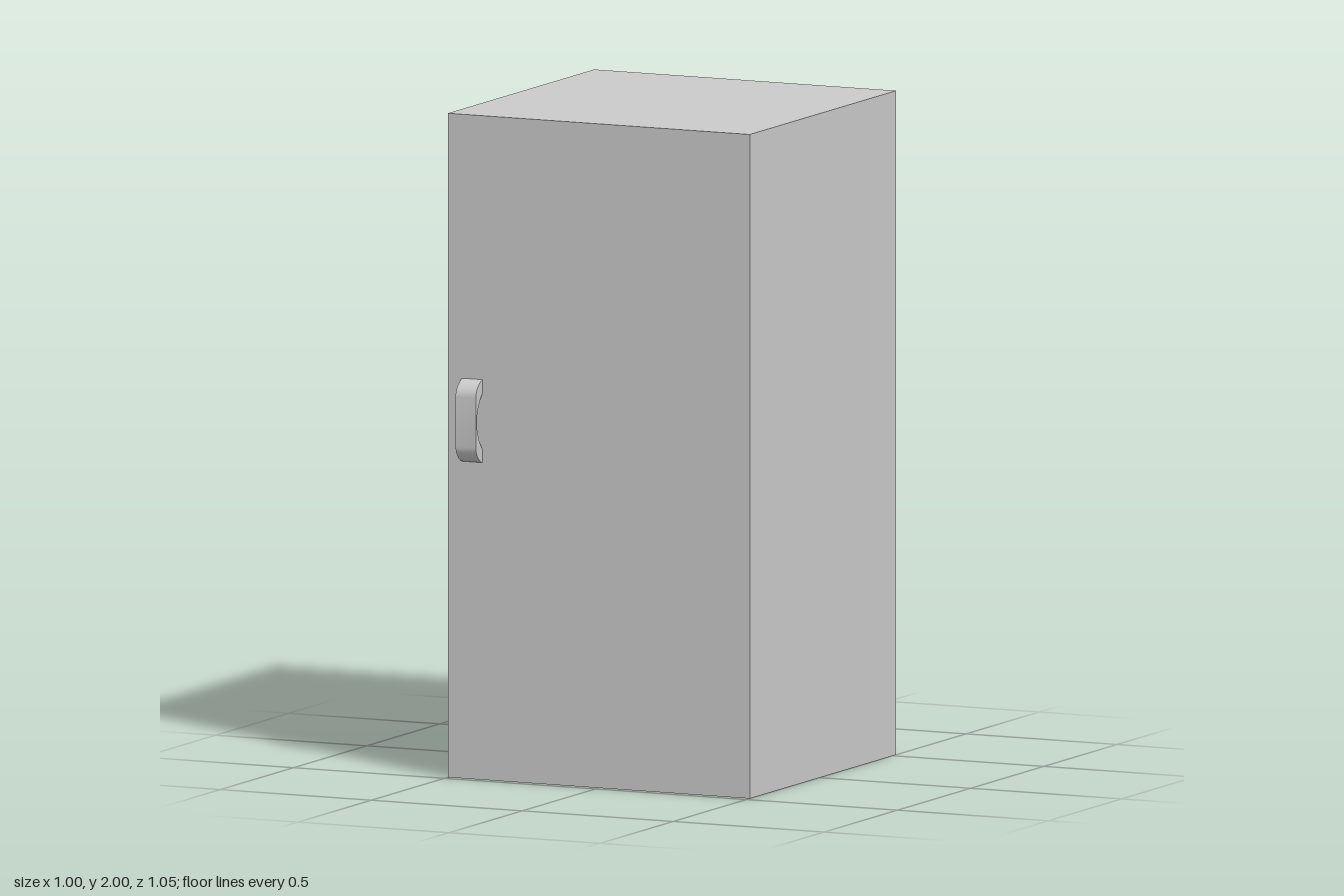
import * as THREE from 'three';
import { toCreasedNormals } from 'three/addons/utils/BufferGeometryUtils.js';

export function createModel() {
  const model = new THREE.Group();
  model.name = 'cabinet';
  const material = new THREE.MeshStandardMaterial({ color: 0xcccccc });
  const frontZ = 0.477;

  // Plain upright body, set back to leave room for the handle
  const body = new THREE.Mesh(new THREE.BoxGeometry(1, 2, 1), material);
  body.name = 'body';
  body.position.set(0, 1, frontZ - 0.5);
  model.add(body);

  // Handle side profile: x is the distance out from the door, y is height about the middle
  const profile = new THREE.Shape();
  profile.moveTo(0, -0.125);
  profile.bezierCurveTo(0.018, -0.122, 0.046, -0.1, 0.046, -0.075);
  profile.lineTo(0.046, 0.075);
  profile.bezierCurveTo(0.046, 0.1, 0.018, 0.122, 0, 0.125);
  profile.lineTo(0, 0.085);
  // Finger opening
  profile.bezierCurveTo(0.02, 0.065, 0.039, 0.035, 0.039, 0);
  profile.bezierCurveTo(0.039, -0.035, 0.02, -0.065, 0, -0.085);
  profile.closePath();

  const grip = new THREE.ExtrudeGeometry(profile, { depth: 0.067, bevelEnabled: false, curveSegments: 8 });
  grip.rotateY(-Math.PI / 2);
  const handle = new THREE.Mesh(toCreasedNormals(grip, Math.PI / 5), material);
  handle.name = 'handle';
  handle.position.set(-0.385, 1.08, frontZ);
  model.add(handle);

  return model;
}
